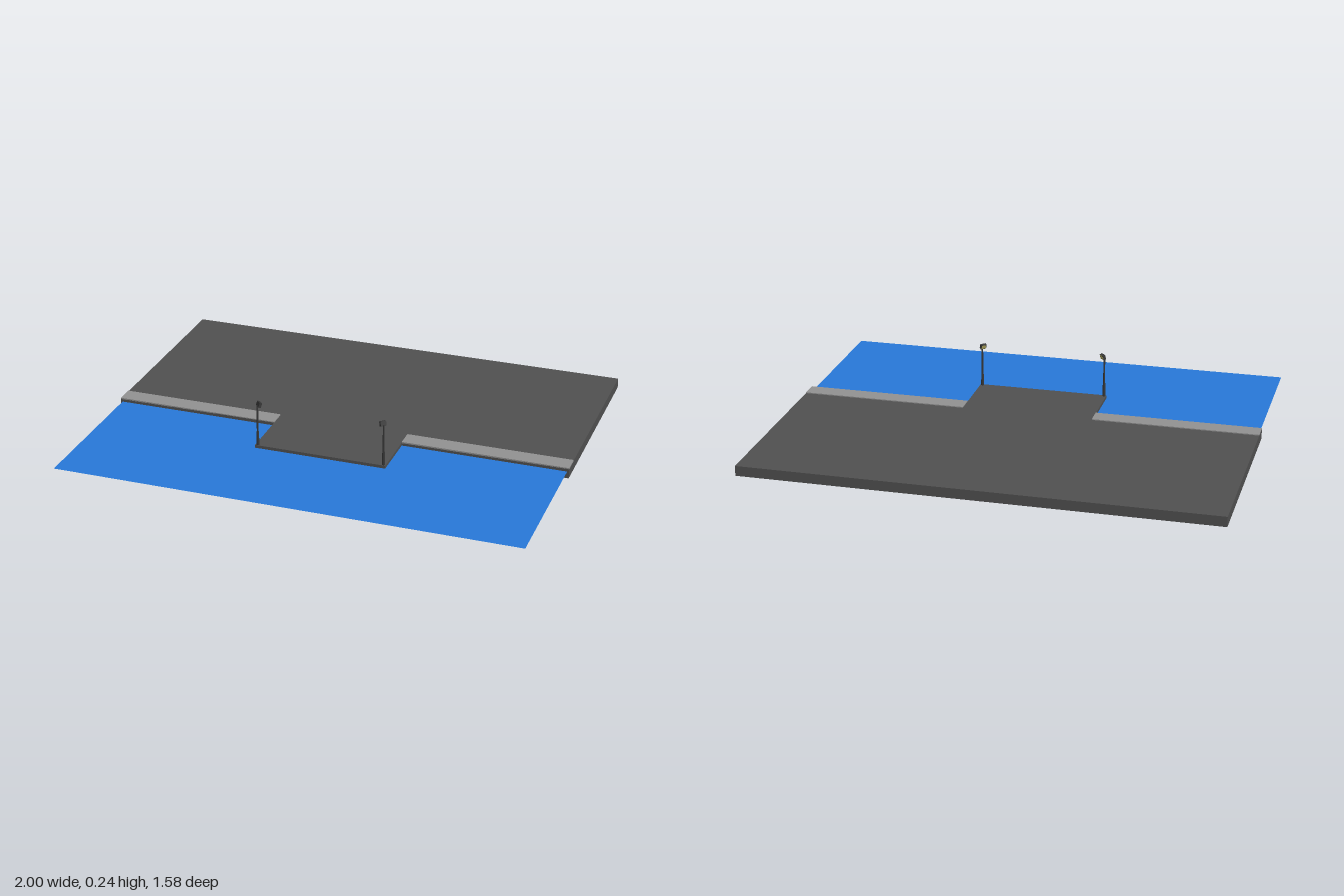
import * as THREE from 'three';

const mat = (color, extra = {}) => new THREE.MeshStandardMaterial({ color, ...extra });

export function createModel() {
  const group = new THREE.Group();
  const concrete = mat(0x505050), kerb = mat(0x929292), metal = mat(0x383838);
  const water = mat(0x2878d8, { side: THREE.DoubleSide });
  const glass = mat(0xb0a860);

  const add = (parent, name, geometry, material, x = 0, y = 0, z = 0) => {
    const mesh = new THREE.Mesh(geometry, material);
    mesh.name = name;
    mesh.position.set(x, y, z);
    parent.add(mesh);
    return mesh;
  };

  // Quay slab with its projecting jetty, drawn in plan (shape y = -z) and extruded upwards
  const plan = new THREE.Shape([
    [-1, 0.79], [-1, -0.125], [-0.285, -0.125], [-0.285, -0.345],
    [0.285, -0.345], [0.285, -0.125], [1, -0.125], [1, 0.79],
  ].map(([x, y]) => new THREE.Vector2(x, y)));
  const slab = new THREE.ExtrudeGeometry(plan, { depth: 0.043, bevelEnabled: false });
  slab.rotateX(-Math.PI / 2);
  add(group, 'quaySlab', slab, concrete);

  // Thin water sheet in front of the quay
  const sheet = new THREE.PlaneGeometry(1.985, 0.665).rotateX(-Math.PI / 2);
  add(group, 'water', sheet, water, 0, 0.03, 0.4575);

  for (const side of [-1, 1]) {
    // Pale edge strip beside the jetty
    add(group, 'edgeStrip', new THREE.BoxGeometry(0.715, 0.006, 0.077), kerb, side * 0.6425, 0.044, 0.0865);

    // Lamp post on the jetty corner, its head turned inwards along the diagonal
    const lamp = new THREE.Group();
    lamp.name = 'lampPost';
    lamp.position.set(side * 0.275, 0.043, 0.337);
    lamp.rotation.y = Math.PI + side * Math.PI / 4;
    add(lamp, 'postBase', new THREE.CylinderGeometry(0.0055, 0.0065, 0.06, 8), metal, 0, 0.03, 0);
    add(lamp, 'post', new THREE.CylinderGeometry(0.004, 0.0045, 0.17, 8), metal, 0, 0.095, 0);
    const head = new THREE.Group();
    head.name = 'floodlight';
    head.position.set(0, 0.184, 0.008);
    head.rotation.x = 0.3;
    add(head, 'housing', new THREE.BoxGeometry(0.026, 0.021, 0.012), metal);
    add(head, 'lens', new THREE.BoxGeometry(0.021, 0.016, 0.002), glass, 0, 0, 0.006);
    lamp.add(head);
    group.add(lamp);
  }
  return group;
}
